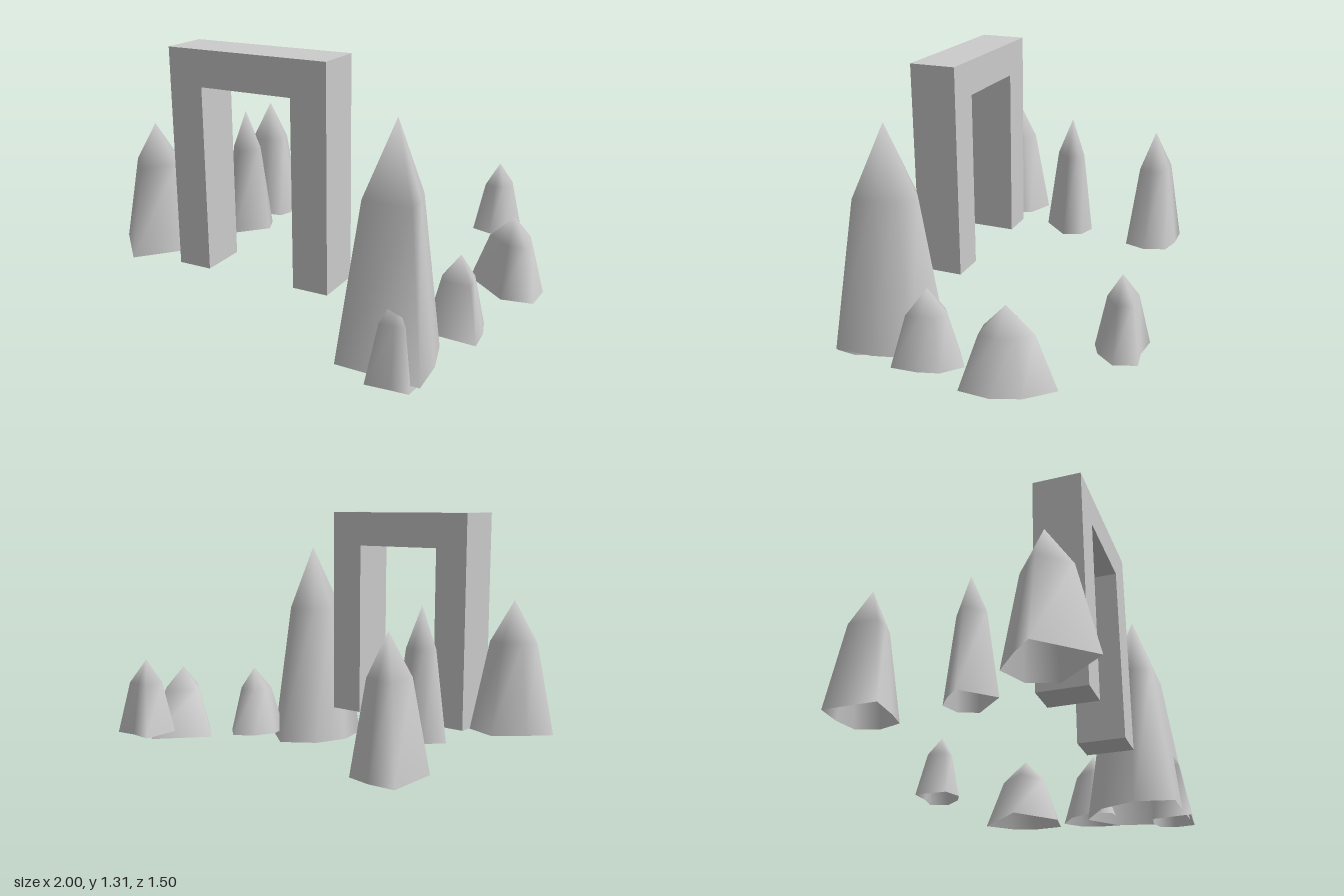
import * as THREE from 'three';

const stone = new THREE.MeshStandardMaterial({ color: 0xcccccc, side: THREE.DoubleSide });

// Pointed rock, open below: base outline, a shoulder ring drawn in towards the tip, and the tip.
// The outline runs back, right, front, left as [x, z] pairs.
function rock(name, [tipX, tipZ], baseY, tipY, outline) {
  const n = outline.length;
  const shoulderY = baseY + (tipY - baseY) * 0.685;
  const positions = [], index = [];
  for (const [scale, y] of [[1, baseY], [0.565, shoulderY]]) {
    for (const [x, z] of outline) {
      positions.push(tipX + (x - tipX) * scale, y, tipZ + (z - tipZ) * scale);
    }
  }
  positions.push(tipX, tipY, tipZ);
  for (let i = 0; i < n; i++) {
    const j = (i + 1) % n;
    index.push(j, i, i + n, j, i + n, j + n, j + n, i + n, 2 * n);
  }
  const geometry = new THREE.BufferGeometry();
  geometry.setAttribute('position', new THREE.Float32BufferAttribute(positions, 3));
  geometry.setIndex(index);
  geometry.computeVertexNormals();
  const mesh = new THREE.Mesh(geometry, stone);
  mesh.name = name;
  return mesh;
}

// Square-cut gateway standing on two legs
function gateway() {
  const outline = [[-0.58, 0.26], [-0.41, 0.26], [-0.41, 1.14], [0.05, 1.14],
    [0.05, 0.26], [0.225, 0.26], [0.225, 1.31], [-0.58, 1.31]];
  const shape = new THREE.Shape(outline.map(([x, y]) => new THREE.Vector2(x, y)));
  const geometry = new THREE.ExtrudeGeometry(shape, { depth: 0.23, bevelEnabled: false });
  geometry.translate(0, 0, 0.31);
  const mesh = new THREE.Mesh(geometry, stone);
  mesh.name = 'archway';
  return mesh;
}

export function createModel() {
  const model = new THREE.Group();
  model.name = 'archAndRocks';
  model.add(gateway());

  // Rocks on the +x side, front to back
  model.add(
    rock('tallRock', [0.54, 0.51], 0.03, 1.11,
      [[0.54, 0.22], [0.69, 0.34], [0.74, 0.52], [0.75, 0.71], [0.345, 0.7], [0.3, 0.51], [0.37, 0.335]]),
    rock('smallFrontRock', [0.61, 0.64], 0, 0.4,
      [[0.53, 0.55], [0.62, 0.54], [0.69, 0.56], [0.72, 0.63], [0.71, 0.73], [0.63, 0.735], [0.51, 0.745]]),
    rock('leftFrontRock', [0.73, 0.215], 0.075, 0.435,
      [[0.73, 0.04], [0.82, 0.12], [0.85, 0.22], [0.86, 0.345], [0.61, 0.33], [0.58, 0.22], [0.63, 0.11]]),
    rock('leftMiddleRock', [0.84, -0.215], 0.135, 0.49,
      [[0.84, -0.45], [0.95, -0.335], [1, -0.21], [0.995, -0.06], [0.845, -0.035], [0.63, -0.215]]),
    rock('leftBackRock', [0.62, -0.645], 0.255, 0.61,
      [[0.51, -0.745], [0.62, -0.735], [0.715, -0.75], [0.75, -0.65], [0.685, -0.565], [0.615, -0.53], [0.515, -0.565]])
  );

  // Rocks on the -x side, front to back
  model.add(
    rock('rightFrontRock', [-0.78, 0.425], 0.285, 0.905,
      [[-0.78, 0.23], [-0.635, 0.285], [-0.58, 0.42], [-0.78, 0.65], [-1, 0.425], [-0.91, 0.335]]),
    rock('rightMiddleRock', [-0.54, 0], 0.28, 0.9,
      [[-0.54, -0.12], [-0.45, -0.09], [-0.41, 0], [-0.54, 0.14], [-0.68, 0], [-0.61, -0.07]]),
    rock('rightBackRock', [-0.66, -0.43], 0.225, 0.84,
      [[-0.79, -0.56], [-0.66, -0.565], [-0.545, -0.54], [-0.505, -0.43], [-0.54, -0.32], [-0.64, -0.305], [-0.79, -0.3]])
  );
  return model;
}
